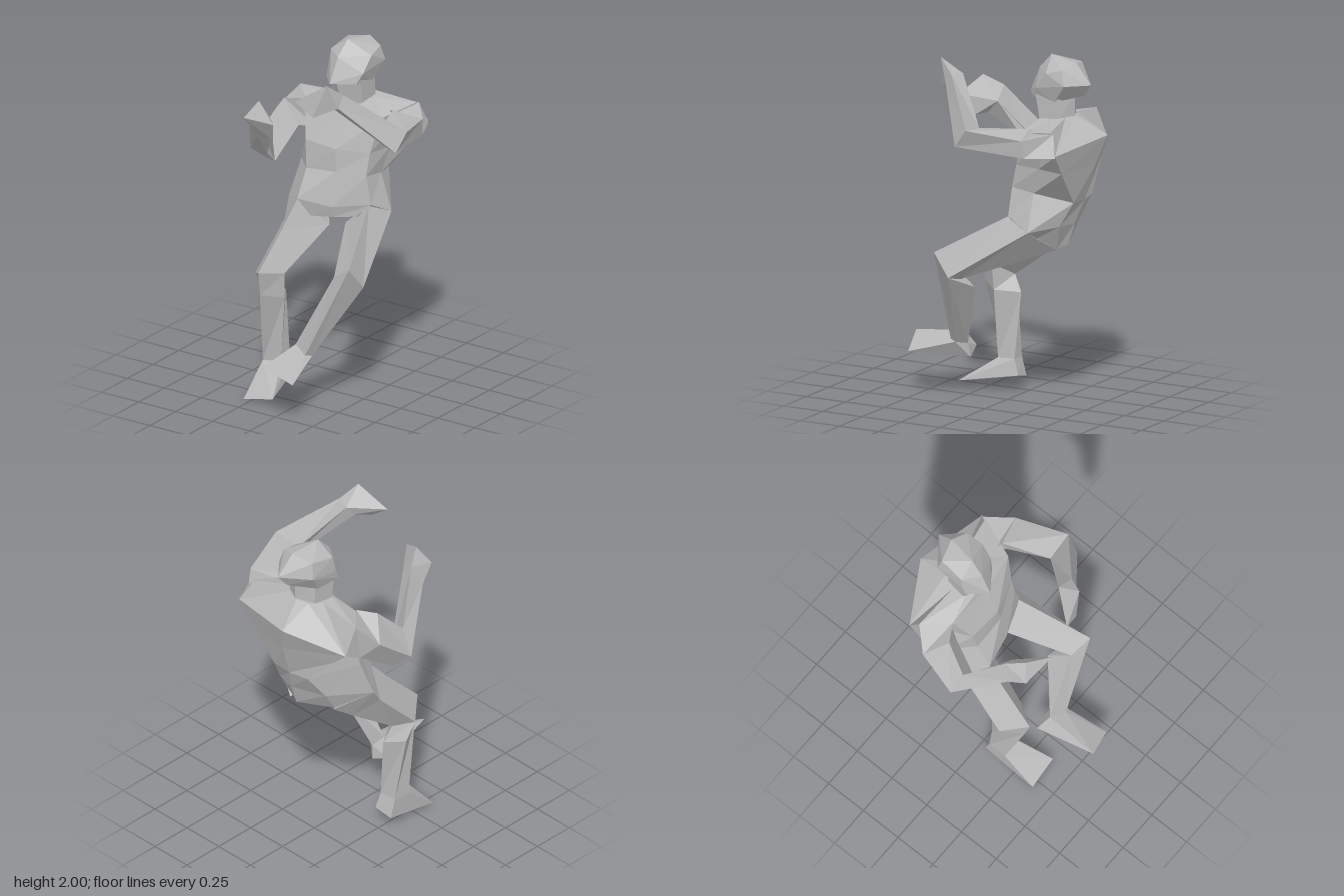
import * as THREE from 'three';
import { ConvexGeometry } from 'three/addons/geometries/ConvexGeometry.js';

// Skins a series of equal-sized cross-sections, closes both ends and turns faces outward.
function loft(rings) {
  const tris = [];
  const n = rings[0].length;
  for (let r = 0; r < rings.length - 1; r++) {
    for (let i = 0; i < n; i++) {
      const j = (i + 1) % n;
      const a = rings[r][i], b = rings[r][j], c = rings[r + 1][j], d = rings[r + 1][i];
      tris.push([a, b, c], [a, c, d]);
    }
  }
  const cap = (ring, flip) => {
    const mid = [0, 1, 2].map((k) => ring.reduce((s, p) => s + p[k], 0) / n);
    ring.forEach((p, i) => {
      const q = ring[(i + 1) % n];
      tris.push(flip ? [mid, q, p] : [mid, p, q]);
    });
  };
  cap(rings[0], true);
  cap(rings[rings.length - 1], false);

  const v = (p) => new THREE.Vector3(...p);
  const volume = tris.reduce((s, [a, b, c]) => s + v(a).dot(v(b).cross(v(c))), 0);
  if (volume < 0) tris.forEach((t) => t.reverse());
  const g = new THREE.BufferGeometry();
  g.setAttribute('position', new THREE.Float32BufferAttribute(tris.flat(2), 3));
  g.computeVertexNormals();
  return g;
}

const hull = (points) => new ConvexGeometry(points.map((p) => new THREE.Vector3(...p)));

export function createModel() {
  const model = new THREE.Group();
  model.name = 'fightingFigure';
  const grey = new THREE.MeshStandardMaterial({ color: 0xb8b8b8 });
  grey.name = 'plain grey';
  grey.flatShading = true;
  const add = (name, geometry) => {
    const mesh = new THREE.Mesh(geometry, grey);
    mesh.name = name;
    model.add(mesh);
  };

  // Torso: pelvis, hips, waist, chest, shoulders, neck base.
  // Each ring runs right front, front, left front, left, left back, back, right back, right.
  add('torso', loft([
    [[-0.13, 1, -0.03], [0, 1.01, -0.06], [0.13, 1.03, -0.1], [0.16, 0.97, -0.25],
      [0.06, 0.915, -0.35], [0, 0.935, -0.39], [-0.2, 0.945, -0.29], [-0.25, 0.97, -0.18]],
    [[-0.2, 1.095, 0], [0, 1.075, -0.045], [0.21, 1.11, -0.125], [0.25, 1.035, -0.27],
      [0.12, 1.06, -0.4], [0, 1.06, -0.43], [-0.2, 1.06, -0.36], [-0.345, 1.04, -0.13]],
    [[-0.2, 1.25, -0.09], [0, 1.27, -0.09], [0.175, 1.27, -0.13], [0.18, 1.25, -0.27],
      [0.09, 1.2, -0.475], [-0.03, 1.195, -0.475], [-0.15, 1.2, -0.455], [-0.31, 1.25, -0.2]],
    [[-0.22, 1.41, -0.11], [-0.01, 1.4, -0.1], [0.18, 1.4, -0.16], [0.21, 1.4, -0.32],
      [0.25, 1.4, -0.49], [-0.04, 1.4, -0.54], [-0.32, 1.38, -0.42], [-0.28, 1.42, -0.24]],
    [[-0.28, 1.6, -0.2], [0, 1.58, -0.19], [0.22, 1.6, -0.215], [0.3, 1.64, -0.445],
      [0.34, 1.52, -0.5], [-0.09, 1.565, -0.59], [-0.405, 1.46, -0.41], [-0.41, 1.625, -0.335]],
    [[-0.12, 1.65, -0.24], [-0.03, 1.64, -0.21], [0.07, 1.655, -0.25], [0.09, 1.66, -0.33],
      [0.05, 1.67, -0.4], [-0.03, 1.67, -0.42], [-0.1, 1.665, -0.4], [-0.14, 1.65, -0.32]],
  ]));

  add('neck', loft([
    [[-0.03, 1.62, -0.2], [0.075, 1.64, -0.25], [0.075, 1.65, -0.37], [-0.02, 1.66, -0.42], [-0.12, 1.65, -0.37], [-0.135, 1.63, -0.25]],
    [[-0.05, 1.78, -0.16], [0.07, 1.79, -0.22], [0.07, 1.79, -0.36], [-0.02, 1.8, -0.42], [-0.12, 1.79, -0.36], [-0.135, 1.78, -0.23]],
  ]));

  // Head: jaw, cheek and brow points below a single crown point.
  add('head', hull([
    [-0.06, 1.775, -0.115], [0.06, 1.77, -0.2], [0.07, 1.755, -0.34], [-0.02, 1.79, -0.48], [-0.13, 1.755, -0.35], [-0.148, 1.77, -0.21],
    [-0.03, 1.745, -0.22], [-0.055, 1.83, -0.145], [0.085, 1.83, -0.23], [0.105, 1.86, -0.42], [0, 1.86, -0.535], [-0.155, 1.86, -0.415],
    [-0.153, 1.83, -0.235], [-0.05, 1.915, -0.18], [0.095, 1.92, -0.3], [0.085, 1.945, -0.4], [-0.01, 1.975, -0.435], [-0.135, 1.955, -0.4],
    [-0.145, 1.925, -0.25], [-0.04, 2, -0.26],
  ]));

  // Left arm: raised level, forearm folded up in front of the face.
  const leftElbow = [[0.52, 1.65, -0.03], [0.5, 1.545, 0.05], [0.4, 1.535, -0.01], [0.35, 1.63, -0.02]];
  const leftWrist = [[0.26, 1.89, 0.21], [0.25, 1.82, 0.25], [0.16, 1.82, 0.23], [0.18, 1.88, 0.18]];
  add('leftUpperArm', loft([
    [[0.3, 1.635, -0.465], [0.34, 1.51, -0.5], [0.2, 1.49, -0.36], [0.2, 1.61, -0.3]],
    [[0.42, 1.605, -0.33], [0.41, 1.505, -0.34], [0.275, 1.51, -0.27], [0.25, 1.635, -0.28]],
    leftElbow,
  ]));
  add('leftForearm', loft([leftElbow, leftWrist]));
  add('leftHand', hull([...leftWrist, [0.21, 1.965, 0.305], [0.14, 1.77, 0.34], [0.035, 1.85, 0.36]]));

  // Right arm: hanging from the shoulder, fist raised at chest height.
  const rightElbow = [[-0.44, 1.46, 0.005], [-0.525, 1.32, -0.015], [-0.45, 1.25, -0.08], [-0.35, 1.285, 0]];
  const rightWrist = [[-0.31, 1.71, 0.2], [-0.35, 1.59, 0.25], [-0.27, 1.55, 0.28], [-0.24, 1.63, 0.2]];
  add('rightUpperArm', loft([
    [[-0.28, 1.61, -0.2], [-0.41, 1.625, -0.335], [-0.405, 1.46, -0.41], [-0.24, 1.43, -0.25]],
    [[-0.385, 1.61, -0.14], [-0.5, 1.5, -0.235], [-0.41, 1.4, -0.3], [-0.3, 1.46, -0.16]],
    rightElbow,
  ]));
  add('rightForearm', loft([rightElbow, rightWrist]));
  add('rightHand', hull([...rightWrist, [-0.25, 1.77, 0.3], [-0.105, 1.68, 0.37], [-0.155, 1.555, 0.3], [-0.315, 1.67, 0.355]]));

  // Left leg: knee lifted, foot off the ground.  Rings run front, outer, back, inner.
  const leftAnkle = [[0.075, 0.325, 0.32], [0.095, 0.315, 0.28], [0.03, 0.3, 0.235], [-0.015, 0.36, 0.28]];
  add('leftThigh', loft([
    [[0.2, 1.105, -0.12], [0.25, 1.035, -0.27], [0.08, 0.915, -0.36], [0.03, 0.96, -0.14]],
    [[0.34, 0.88, 0.275], [0.365, 0.75, 0.17], [0.28, 0.73, 0.14], [0.215, 0.8, 0.24]],
  ]));
  add('leftShin', loft([
    [[0.34, 0.88, 0.275], [0.365, 0.75, 0.17], [0.17, 0.665, 0.11], [0.215, 0.8, 0.24]],
    leftAnkle,
  ]));
  add('leftFoot', hull([...leftAnkle, [-0.085, 0.265, 0.245], [0.02, 0.22, 0.225], [-0.02, 0.325, 0.595], [0.15, 0.24, 0.55]]));

  // Right leg: slightly bent and carrying the weight.
  const rightAnkle = [[-0.3, 0.17, 0.19], [-0.3, 0.175, 0.08], [-0.2, 0.18, 0.07], [-0.19, 0.18, 0.17]];
  const rightKnee = [[-0.24, 0.745, 0.32], [-0.35, 0.68, 0.19], [-0.26, 0.65, 0.1], [-0.155, 0.72, 0.19]];
  add('rightThigh', loft([
    [[-0.2, 1.095, -0.005], [-0.345, 1.04, -0.13], [-0.2, 0.94, -0.3], [-0.07, 0.93, -0.13]],
    [[-0.218, 0.94, 0.13], [-0.318, 0.935, -0.05], [-0.215, 0.84, -0.17], [-0.105, 0.84, 0.01]],
    rightKnee,
  ]));
  add('rightShin', loft([
    rightKnee,
    [[-0.25, 0.6, 0.29], [-0.34, 0.57, 0.13], [-0.24, 0.555, 0.05], [-0.16, 0.57, 0.18]],
    rightAnkle,
  ]));
  add('rightFoot', hull([...rightAnkle, [-0.295, 0, 0.385], [-0.105, 0.04, 0.375], [-0.3, 0.065, 0.05], [-0.19, 0.09, 0.04]]));

  return model;
}
